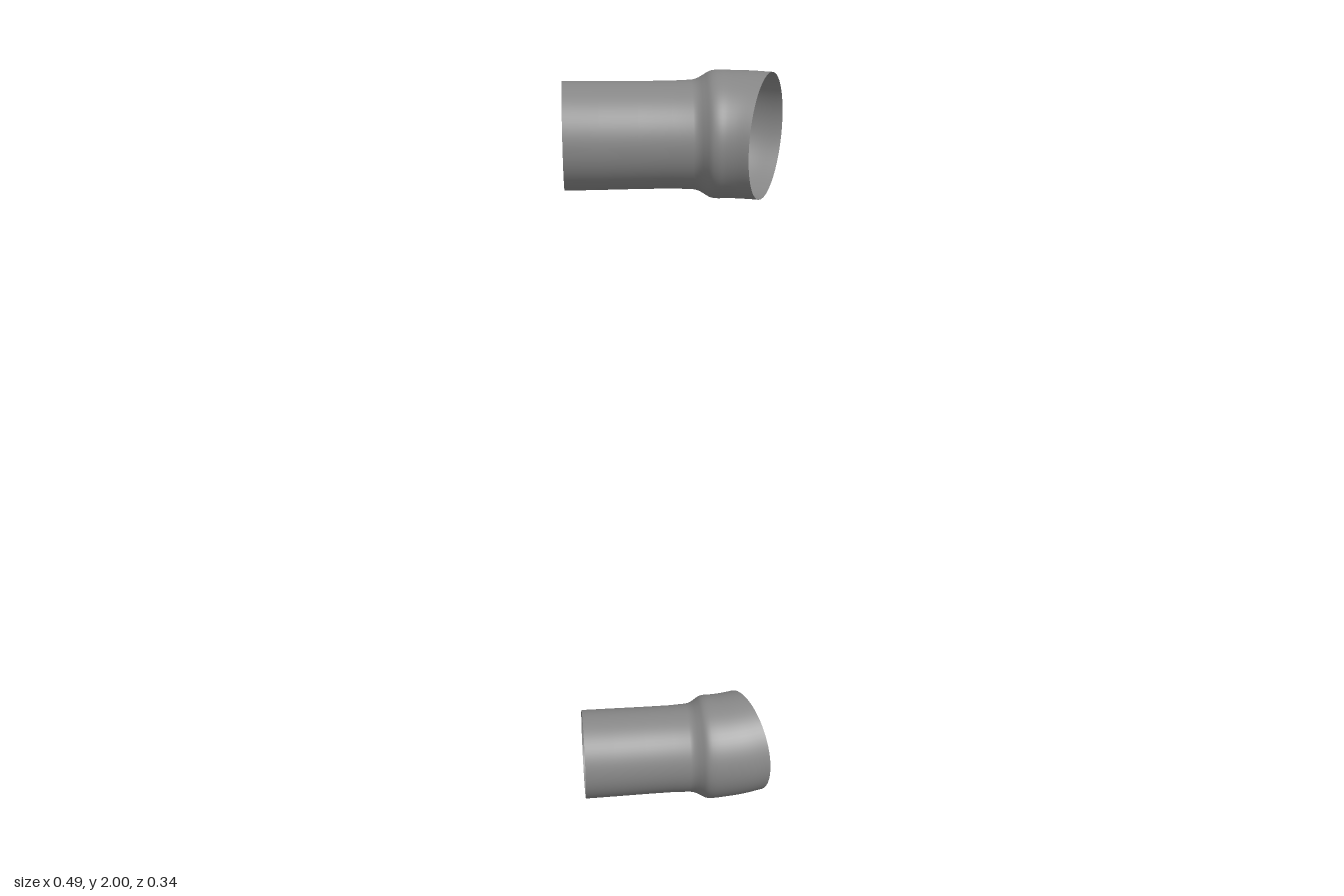
import * as THREE from 'three';

// Matching points on the two sides of the pipe, as [x, z] pairs per ring
const RINGS = [
  [-0.242, -0.107, -0.248, 0.127],
  [0.035, -0.098, 0.03, 0.136],
  [0.05, -0.101, 0.044, 0.14],
  [0.064, -0.1075, 0.055, 0.147],
  [0.078, -0.1145, 0.067, 0.155],
  [0.094, -0.1165, 0.08, 0.1583],
  [0.14, -0.112, 0.097, 0.159],
  [0.192, -0.1025, 0.118, 0.162],
  [0.246, -0.086, 0.143, 0.1685],
];
const SIDES = 64;
const STEPS = 4;

// Open pipe lofted through circles spanning the two side curves
function pipeGeometry() {
  const back = new THREE.CatmullRomCurve3(RINGS.map(r => new THREE.Vector3(r[0], 0, r[1])));
  const front = new THREE.CatmullRomCurve3(RINGS.map(r => new THREE.Vector3(r[2], 0, r[3])));
  const count = (RINGS.length - 1) * STEPS;
  const positions = [];
  const indices = [];
  for (let i = 0; i <= count; i++) {
    const a = back.getPoint(i / count);
    const b = front.getPoint(i / count);
    const centre = a.clone().add(b).multiplyScalar(0.5);
    const half = b.clone().sub(centre);
    const radius = half.length();
    for (let j = 0; j < SIDES; j++) {
      const angle = (j / SIDES) * Math.PI * 2;
      const p = centre.clone().addScaledVector(half, Math.cos(angle));
      positions.push(p.x, radius * Math.sin(angle), p.z);
      if (i < count) {
        const k = (j + 1) % SIDES;
        const p0 = i * SIDES + j, p1 = i * SIDES + k;
        indices.push(p0, p0 + SIDES, p1, p1, p0 + SIDES, p1 + SIDES);
      }
    }
  }
  const geometry = new THREE.BufferGeometry();
  geometry.setAttribute('position', new THREE.Float32BufferAttribute(positions, 3));
  geometry.setIndex(indices);
  geometry.computeVertexNormals();
  return geometry;
}

export function createModel() {
  const model = new THREE.Group();
  const material = new THREE.MeshStandardMaterial({ color: 0x888888, side: THREE.DoubleSide });
  const geometry = pipeGeometry();

  // Upper pipe, socket turned towards the front
  const upper = new THREE.Mesh(geometry, material);
  upper.name = 'upperPipe';
  upper.position.y = 1.863;
  model.add(upper);

  // Lower pipe, flipped so its socket turns towards the back
  const lower = new THREE.Mesh(geometry, material);
  lower.name = 'lowerPipe';
  lower.rotation.x = Math.PI;
  lower.position.y = 0.138;
  model.add(lower);

  return model;
}
